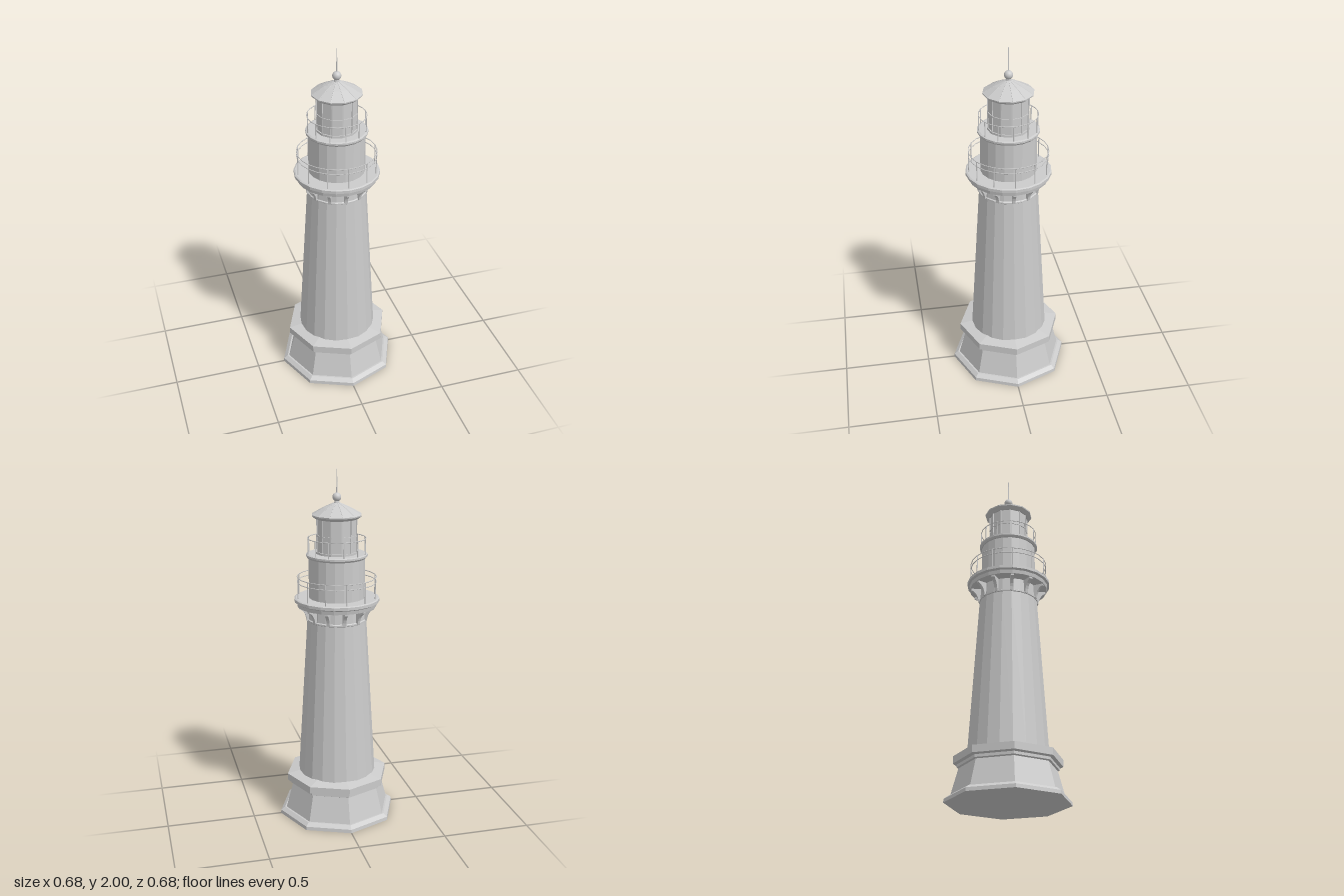
import * as THREE from 'three';

const flat = new THREE.MeshStandardMaterial({ color: 0xcccccc, flatShading: true });
const smooth = new THREE.MeshStandardMaterial({ color: 0xcccccc });

export function createModel() {
  const model = new THREE.Group();

  const add = (name, geometry, parent = model, material = flat) => {
    const mesh = new THREE.Mesh(geometry, material);
    mesh.name = name;
    parent.add(mesh);
    return mesh;
  };

  // Turned part from [radius, height] pairs, listed bottom to top
  const turned = (name, sides, profile) =>
    add(name, new THREE.LatheGeometry(profile.map(([r, y]) => new THREE.Vector2(r, y)), sides));

  // Repeats a part around the vertical axis; build() makes it on the +x side
  const ring = (name, count, build) => {
    const group = new THREE.Group();
    group.name = name;
    for (let i = 0; i < count; i++) {
      const arm = new THREE.Group();
      arm.rotation.y = (i / count) * Math.PI * 2;
      build(arm);
      group.add(arm);
    }
    model.add(group);
    return group;
  };

  const hoop = (name, radius, y, thickness, sides, parent = model) => {
    const mesh = add(name, new THREE.TorusGeometry(radius, thickness, 6, sides), parent, smooth);
    mesh.rotation.x = Math.PI / 2;
    mesh.position.y = y;
  };

  // Round railing: posts plus horizontal rails
  const railing = (name, radius, bottom, top, rails) => {
    const group = ring(name, 12, (arm) => {
      const post = add('railingPost', new THREE.CylinderGeometry(0.003, 0.003, top - bottom, 6), arm);
      post.position.set(radius, (top + bottom) / 2, 0);
    });
    rails.forEach((y) => hoop('rail', radius, y, 0.0025, 24, group));
  };

  // Octagonal base with sloping plinth and overhanging cap
  turned('base', 8, [
    [0, 0], [0.34, 0], [0.338, 0.02], [0.315, 0.037], [0.305, 0.037],
    [0.265, 0.185], [0.275, 0.19], [0.275, 0.205], [0.295, 0.21],
    [0.295, 0.25], [0.22, 0.265], [0, 0.265],
  ]);

  // Tapering tower and collar
  turned('tower', 20, [[0.222, 0.255], [0.166, 1.165], [0.17, 1.168], [0.17, 1.176], [0.164, 1.18], [0.16, 1.26]]);

  // Curved brackets under the gallery
  const bracket = new THREE.Shape();
  bracket.moveTo(0.15, 1.17);
  bracket.lineTo(0.172, 1.17);
  bracket.quadraticCurveTo(0.178, 1.225, 0.215, 1.24);
  bracket.lineTo(0.215, 1.256);
  bracket.lineTo(0.15, 1.256);
  bracket.closePath();
  const bracketGeometry = new THREE.ExtrudeGeometry(bracket, { depth: 0.018, bevelEnabled: false, curveSegments: 5 });
  bracketGeometry.translate(0, 0, -0.009);
  ring('galleryBrackets', 12, (arm) => add('bracket', bracketGeometry, arm));

  // Main gallery
  turned('gallery', 20, [
    [0.15, 1.25], [0.222, 1.25], [0.226, 1.27], [0.238, 1.277],
    [0.238, 1.293], [0.23, 1.297], [0.15, 1.297],
  ]);
  railing('galleryRailing', 0.22, 1.295, 1.415, [1.413, 1.385]);

  // Watch room and upper deck
  turned('watchRoom', 20, [[0.156, 1.295], [0.156, 1.525]]);
  turned('upperDeck', 20, [
    [0.14, 1.518], [0.162, 1.52], [0.17, 1.53], [0.17, 1.54], [0.16, 1.544], [0, 1.544],
  ]);
  railing('upperRailing', 0.161, 1.54, 1.63, [1.628]);

  // Twelve-sided lantern with glazing bars
  turned('lantern', 12, [[0.11, 1.54], [0.11, 1.745]]);
  ring('glazingBars', 12, (arm) => {
    const bar = add('glazingBar', new THREE.BoxGeometry(0.008, 0.2, 0.006), arm);
    bar.position.set(0.11, 1.642, 0);
  });
  turned('lanternSill', 12, [[0.109, 1.542], [0.116, 1.542], [0.116, 1.556], [0.109, 1.556]]);
  turned('lanternBand', 12, [[0.109, 1.64], [0.114, 1.64], [0.114, 1.647], [0.109, 1.647]]);

  // Roof with ribs
  turned('roof', 12, [
    [0, 1.735], [0.118, 1.735], [0.138, 1.75], [0.139, 1.757], [0.075, 1.793], [0.016, 1.82], [0, 1.82],
  ]);
  const ribPath = new THREE.CatmullRomCurve3([
    new THREE.Vector3(0.137, 1.757, 0), new THREE.Vector3(0.075, 1.792, 0), new THREE.Vector3(0.016, 1.819, 0),
  ]);
  const ribGeometry = new THREE.TubeGeometry(ribPath, 6, 0.002, 5);
  ring('roofRibs', 12, (arm) => add('roofRib', ribGeometry, arm));

  // Finial
  add('finialNeck', new THREE.CylinderGeometry(0.011, 0.016, 0.025, 12)).position.y = 1.825;
  add('finialBall', new THREE.SphereGeometry(0.024, 20, 14), model, smooth).position.y = 1.85;
  add('spire', new THREE.CylinderGeometry(0.002, 0.0035, 0.135, 8)).position.y = 1.9325;

  return model;
}
